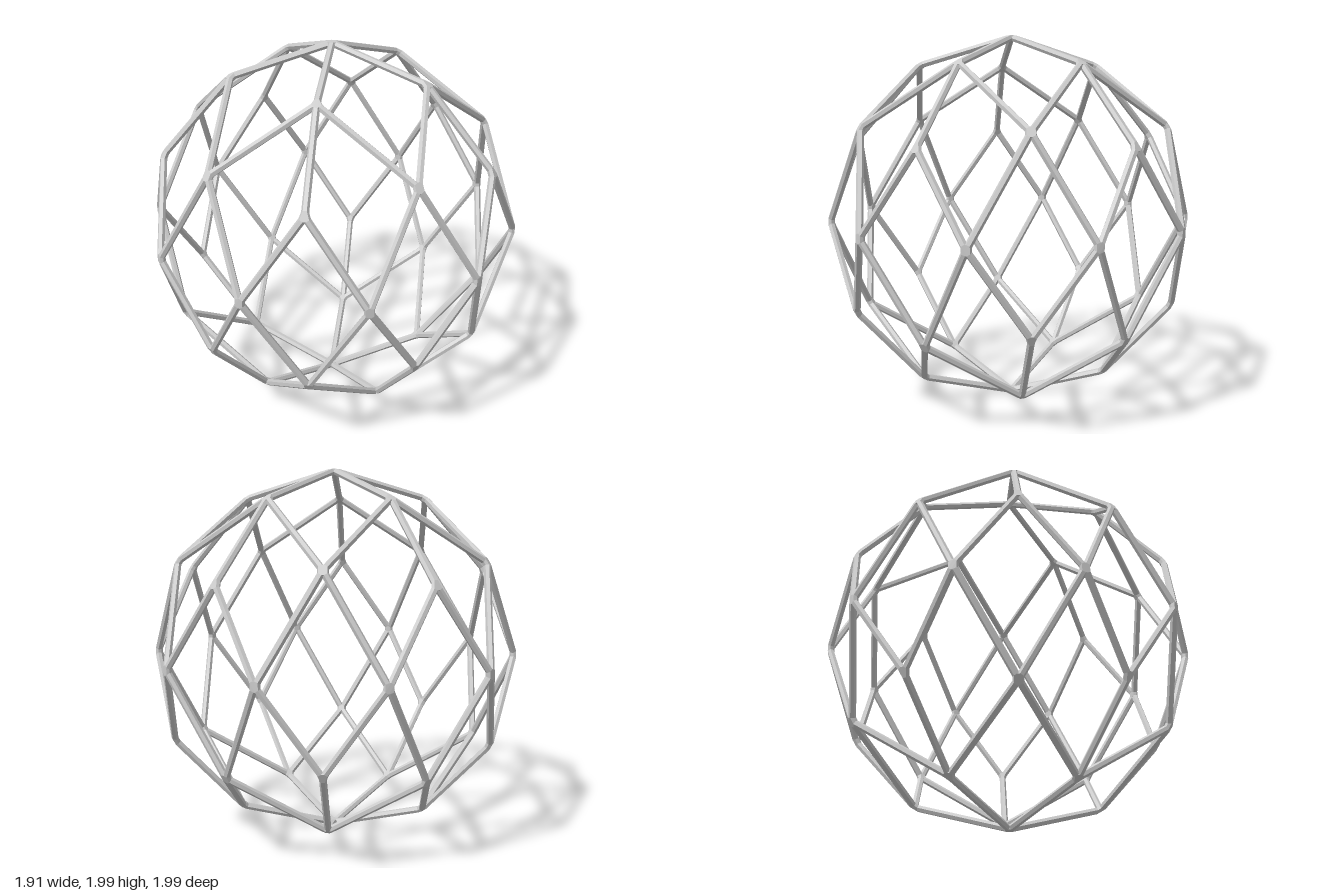
import * as THREE from 'three';
import { ConvexGeometry } from 'three/addons/geometries/ConvexGeometry.js';

const R = 0.987;      // radius of the strut network
const ROD = 0.0185;   // radius of the hexagonal rods
const TRIM = 0.022;   // rods stop this far short of each node
const material = new THREE.MeshStandardMaterial({ color: 0xcccccc, flatShading: true });

// network node: polar angle from the top, turn about y (degrees)
const node = (polar, turn) => ({
  point: new THREE.Vector3().setFromSphericalCoords(
    R, THREE.MathUtils.degToRad(polar), THREE.MathUtils.degToRad(90 - turn)),
  corners: [],
});

// hexagonal rod from node a to node b, one flat face turned outward;
// its end corners are kept for the joints
function strut(a, b) {
  const along = b.point.clone().sub(a.point);
  const length = along.length() - 2 * TRIM;
  const mid = a.point.clone().add(b.point).multiplyScalar(0.5);
  const y = along.normalize();
  const x = y.clone().cross(mid).normalize();
  const z = x.clone().cross(y);
  const frame = new THREE.Matrix4().makeBasis(x, y, z).setPosition(mid);
  for (let i = 0; i < 6; i++) {
    const angle = (i + 0.5) * Math.PI / 3;
    const corner = (end) => new THREE.Vector3(
      ROD * Math.sin(angle), end * length / 2, ROD * Math.cos(angle)).applyMatrix4(frame);
    a.corners.push(corner(-1));
    b.corners.push(corner(1));
  }
  const geometry = new THREE.CylinderGeometry(ROD, ROD, length, 6).rotateY(Math.PI / 6);
  const mesh = new THREE.Mesh(geometry.applyMatrix4(frame), material);
  mesh.name = 'strut';
  return mesh;
}

// faceted block joining the rod ends at a node
function joint({ corners }) {
  const mesh = new THREE.Mesh(new ConvexGeometry(corners), material);
  mesh.name = 'joint';
  return mesh;
}

export function createModel() {
  const model = new THREE.Group();
  model.name = 'latticeSphere';
  const struts = new THREE.Group();
  struts.name = 'struts';
  const joints = new THREE.Group();
  joints.name = 'joints';
  const link = (a, b) => struts.add(strut(a, b));

  const equator = Array.from({ length: 10 }, (_, i) => node(90, 18 + i * 36));
  const nodes = [...equator];

  // the lower half is the upper half reflected through the centre
  for (const lower of [false, true]) {
    const ring = (polar, start) => Array.from({ length: 5 }, (_, i) =>
      lower ? node(180 - polar, start + 180 + i * 72) : node(polar, start + i * 72));
    const rim = (i) => equator[(i + (lower ? 5 : 0) + 10) % 10];
    const pole = node(lower ? 180 : 0, 0);
    const crowns = ring(31.72, 0);
    const shoulders = ring(58.28, 36);
    const corners = ring(63.43, 0);
    nodes.push(pole, ...crowns, ...shoulders, ...corners);

    for (let i = 0; i < 5; i++) {
      link(pole, crowns[i]);
      link(crowns[i], corners[i]);
      link(crowns[i], shoulders[i]);
      link(crowns[(i + 1) % 5], shoulders[i]);
      link(shoulders[i], rim(2 * i));
      link(shoulders[i], rim(2 * i + 1));
      link(corners[i], rim(2 * i - 1));
      link(corners[i], rim(2 * i));
    }
  }

  joints.add(...nodes.map(joint));
  model.add(struts, joints);
  model.position.y = 1;
  return model;
}
